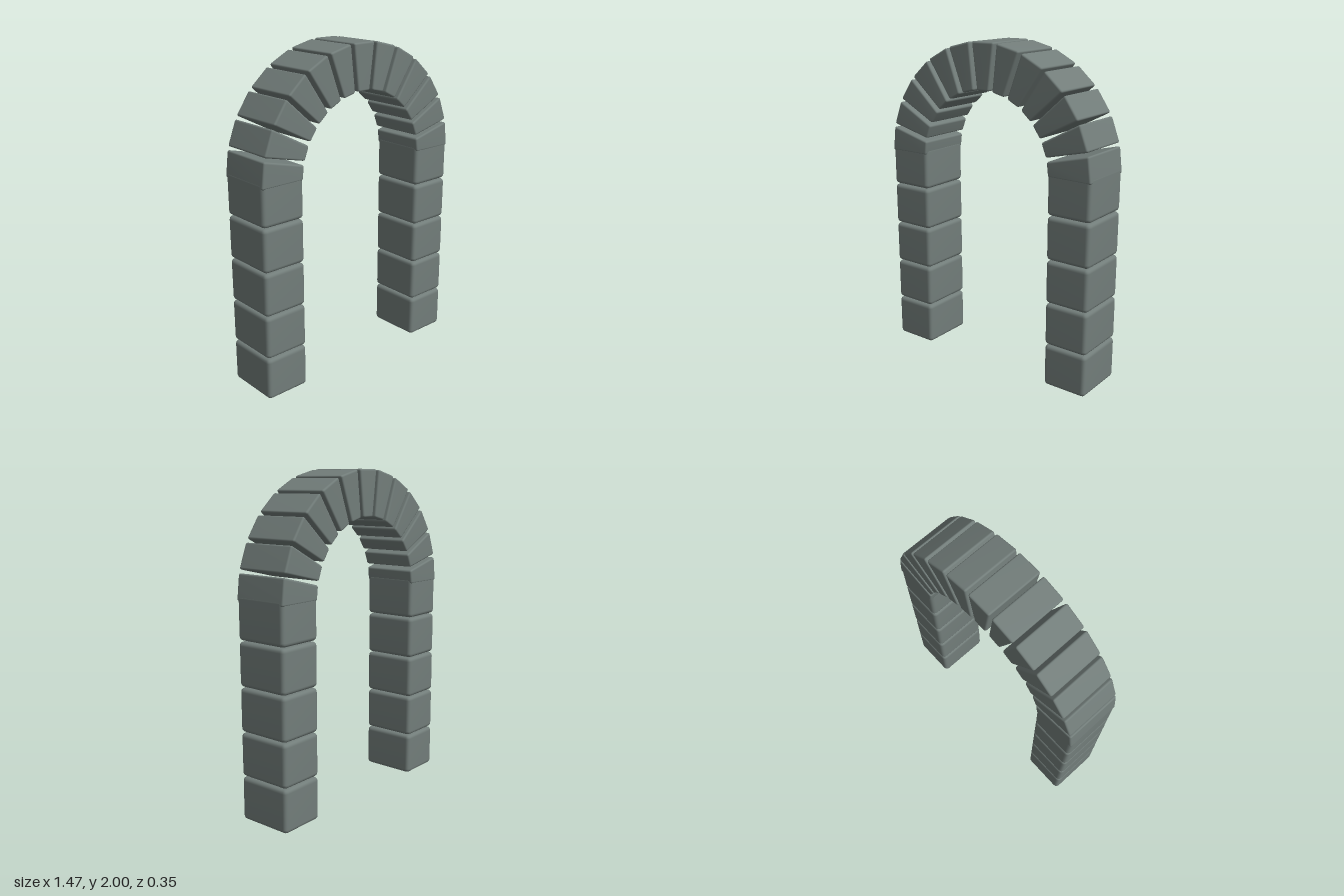
import * as THREE from 'three';
import { RoundedBoxGeometry } from 'three/addons/geometries/RoundedBoxGeometry.js';
import { mergeVertices } from 'three/addons/utils/BufferGeometryUtils.js';

const DEPTH = 0.35;          // front to back
const SPRING_Y = 1.273;      // centre height of the arch
const INNER_R = 0.45, OUTER_R = 0.727;
const STONES = 13;

// Softly bevelled wedge: a rounded box narrowed toward its lower end
function wedgeGeometry(bottomWidth, topWidth, height, depth, bevel) {
  const box = new RoundedBoxGeometry(1, height, depth, 2, bevel);
  box.deleteAttribute('normal');
  box.deleteAttribute('uv');
  const pos = box.attributes.position;
  for (let i = 0; i < pos.count; i++) {
    const x = pos.getX(i);
    const width = THREE.MathUtils.lerp(bottomWidth, topWidth, pos.getY(i) / height + 0.5);
    // keep the bevel size while pulling the sides in
    pos.setX(i, Math.sign(x) * (Math.abs(x) - 0.5 + width / 2));
  }
  const geometry = mergeVertices(box, 1e-4);
  geometry.computeVertexNormals();
  return geometry;
}

export function createModel() {
  const model = new THREE.Group();
  model.name = 'stoneArch';
  const stone = new THREE.MeshStandardMaterial({ color: 0x727d7a });

  // Two pillars of five stacked blocks
  const step = 0.2655, blockHeight = 0.261;
  const block = wedgeGeometry(0.282, 0.282, blockHeight, DEPTH - 0.004, 0.025);
  for (const side of [1, -1]) {
    const pillar = new THREE.Group();
    pillar.name = side > 0 ? 'leftPillar' : 'rightPillar';
    for (let i = 0; i < 5; i++) {
      const mesh = new THREE.Mesh(block, stone);
      mesh.name = 'pillarBlock';
      mesh.position.set(side * 0.593, blockHeight / 2 + i * step, 0);
      pillar.add(mesh);
    }
    model.add(pillar);
  }

  // Half ring of wedge stones around the keystone
  const arch = new THREE.Group();
  arch.name = 'archRing';
  const wedge = wedgeGeometry(0.086, 0.156, OUTER_R - INNER_R, DEPTH, 0.012);
  const midR = (INNER_R + OUTER_R) / 2;
  for (let i = 0; i < STONES; i++) {
    const angle = (i - (STONES - 1) / 2) * Math.PI / STONES;
    const mesh = new THREE.Mesh(wedge, stone);
    mesh.name = i === (STONES - 1) / 2 ? 'keystone' : 'archStone';
    mesh.position.set(Math.sin(angle) * (midR + 0.004), SPRING_Y + Math.cos(angle) * midR, 0);
    mesh.rotation.z = -angle;
    arch.add(mesh);
  }
  model.add(arch);

  return model;
}
